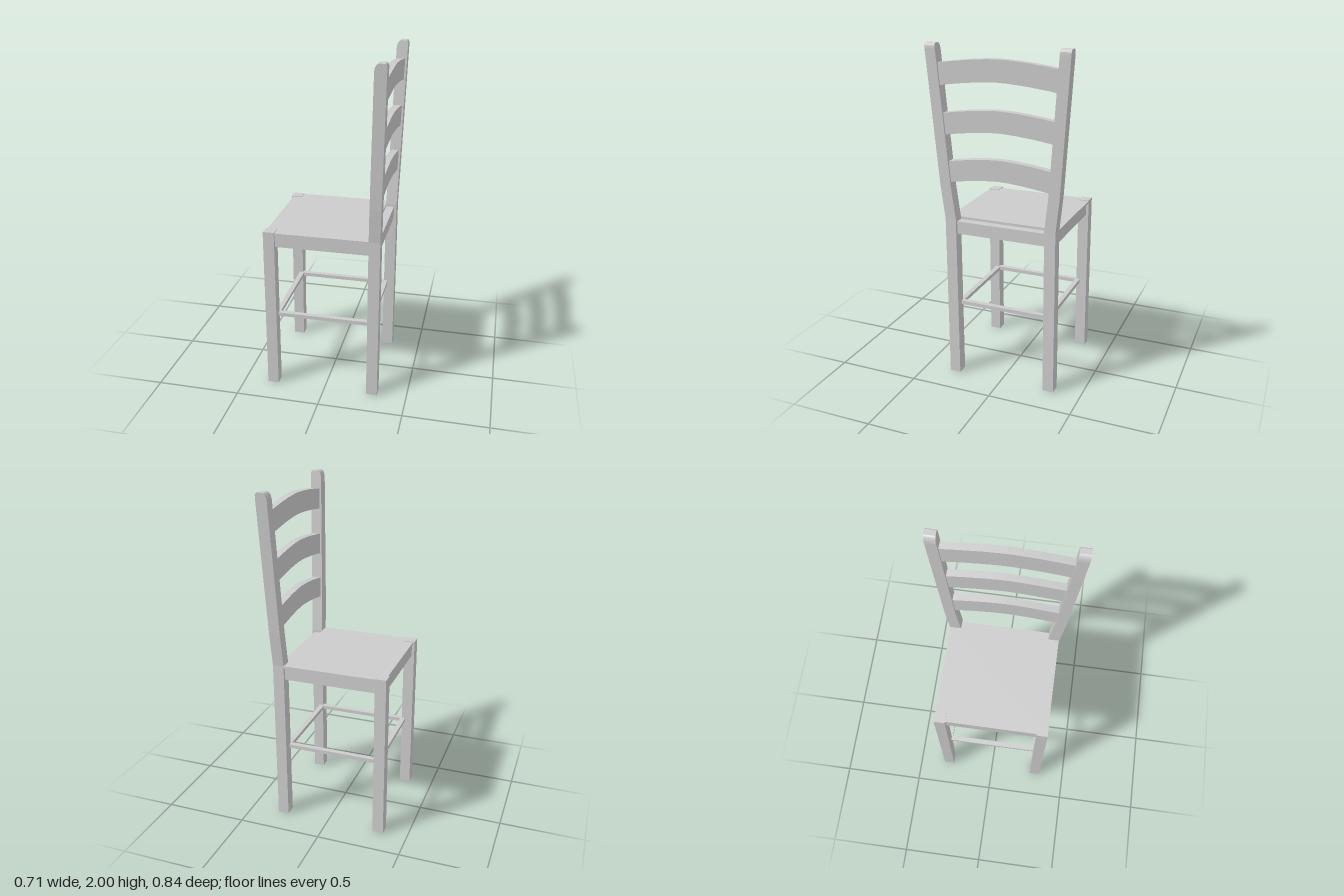
import * as THREE from 'three';

const material = new THREE.MeshStandardMaterial({ color: 0xcccccc, flatShading: true });
const LEG = 0.066, LEG_X = 0.322, POST_X = 0.292, LEG_Z = 0.304;

// Backward lean and outward splay of the rear posts at height y
const lean = (y) => POST_X + Math.max(0, y - 1) * 0.027;
const splay = (y) => LEG_Z + Math.min(Math.max(0, y - 1), 0.2) * 0.115 + Math.max(0, y - 1.2) * 0.075;

function addMesh(group, name, geometry) {
  const mesh = new THREE.Mesh(geometry, material);
  mesh.name = name;
  group.add(mesh);
  return mesh;
}

function addBox(group, name, x0, x1, y0, y1, z0, z1) {
  const mesh = addMesh(group, name, new THREE.BoxGeometry(x1 - x0, y1 - y0, z1 - z0));
  mesh.position.set((x0 + x1) / 2, (y0 + y1) / 2, (z0 + z1) / 2);
}

// Move every vertex by a rule
function reshape(geometry, rule) {
  const p = geometry.attributes.position;
  for (let i = 0; i < p.count; i++) p.setXYZ(i, ...rule(p.getX(i), p.getY(i), p.getZ(i)));
  geometry.computeVertexNormals();
  return geometry;
}

// Post levels: height, then how far the front and back edges are rounded off
const POST_LEVELS = [
  [0, 0, 0], [1, 0, 0], [1.2, 0, 0], [1.955, 0, 0], [1.972, 0.002, 0],
  [1.985, 0.006, 0.001], [1.995, 0.013, 0.005], [2, 0.022, 0.012],
];

// Rear leg and back post in one piece, bent at the seat and rounded at the top
function postGeometry(side) {
  const n = POST_LEVELS.length - 1;
  return reshape(new THREE.BoxGeometry(LEG, 1, LEG, 1, n, 1), (x, v, z) => {
    const [y, front, back] = POST_LEVELS[Math.round((v + 0.5) * n)];
    return [lean(y) + x + (x < 0 ? front : -back), y, side * splay(y) + z * (1 - Math.max(0, y - 1) * 0.06)];
  });
}

// Arched slat whose ends follow the splayed posts
function slatGeometry(bottom) {
  const height = 0.122, arch = 0.034, steps = 12;
  const edge = (base) => Array.from({ length: steps + 1 }, (_, i) => {
    const u = (i / steps) * 2 - 1;
    return new THREE.Vector2(u * (splay(base) - 0.026), base + arch * (1 - Math.pow(Math.abs(u), 1.6)));
  });
  const outline = [...edge(bottom), ...edge(bottom + height).reverse()];
  const g = new THREE.ExtrudeGeometry(new THREE.Shape(outline), { depth: 0.044, bevelEnabled: false });
  return reshape(g, (x, y, d) => [lean(y) + d - 0.022, y, -x]);
}

export function createModel() {
  const chair = new THREE.Group();
  chair.name = 'chair';
  const h = LEG / 2;
  const frontX = -LEG_X + h, backX = POST_X - h, innerZ = LEG_Z - h;

  // Legs and back posts
  for (const side of [-1, 1]) {
    const z = side * LEG_Z;
    addBox(chair, 'frontLeg', -LEG_X - h, frontX, 0, 1.004, z - h, z + h);
    addMesh(chair, 'backPost', postGeometry(side));
  }

  // Seat panel
  addBox(chair, 'seat', -0.345, 0.26, 0.985, 1, -0.335, 0.335);

  // Apron rails below the seat; the rear one reaches in to meet the panel
  for (const side of [-1, 1]) {
    const z = side * LEG_Z;
    addBox(chair, 'sideApron', frontX, backX, 0.91, 0.985, z - 0.017, z + 0.017);
  }
  addBox(chair, 'frontApron', -LEG_X - 0.017, -LEG_X + 0.017, 0.91, 0.985, -innerZ, innerZ);
  addBox(chair, 'backApron', backX, POST_X + 0.017, 0.91, 0.985, -innerZ, innerZ);

  // Ring of thin stretchers that just clears the inner corners of the legs
  const gap = 0.008, width = 0.03;
  for (const side of [-1, 1]) {
    const z = side * (innerZ - gap + width / 2);
    addBox(chair, 'sideStretcher', frontX, backX, 0.445, 0.467, z - width / 2, z + width / 2);
  }
  for (const x of [frontX + gap - width / 2, backX - gap + width / 2]) {
    addBox(chair, 'crossStretcher', x - width / 2, x + width / 2, 0.445, 0.467, -innerZ, innerZ);
  }

  // Ladder back
  for (const y of [1.223, 1.498, 1.773]) addMesh(chair, 'backSlat', slatGeometry(y));

  return chair;
}
